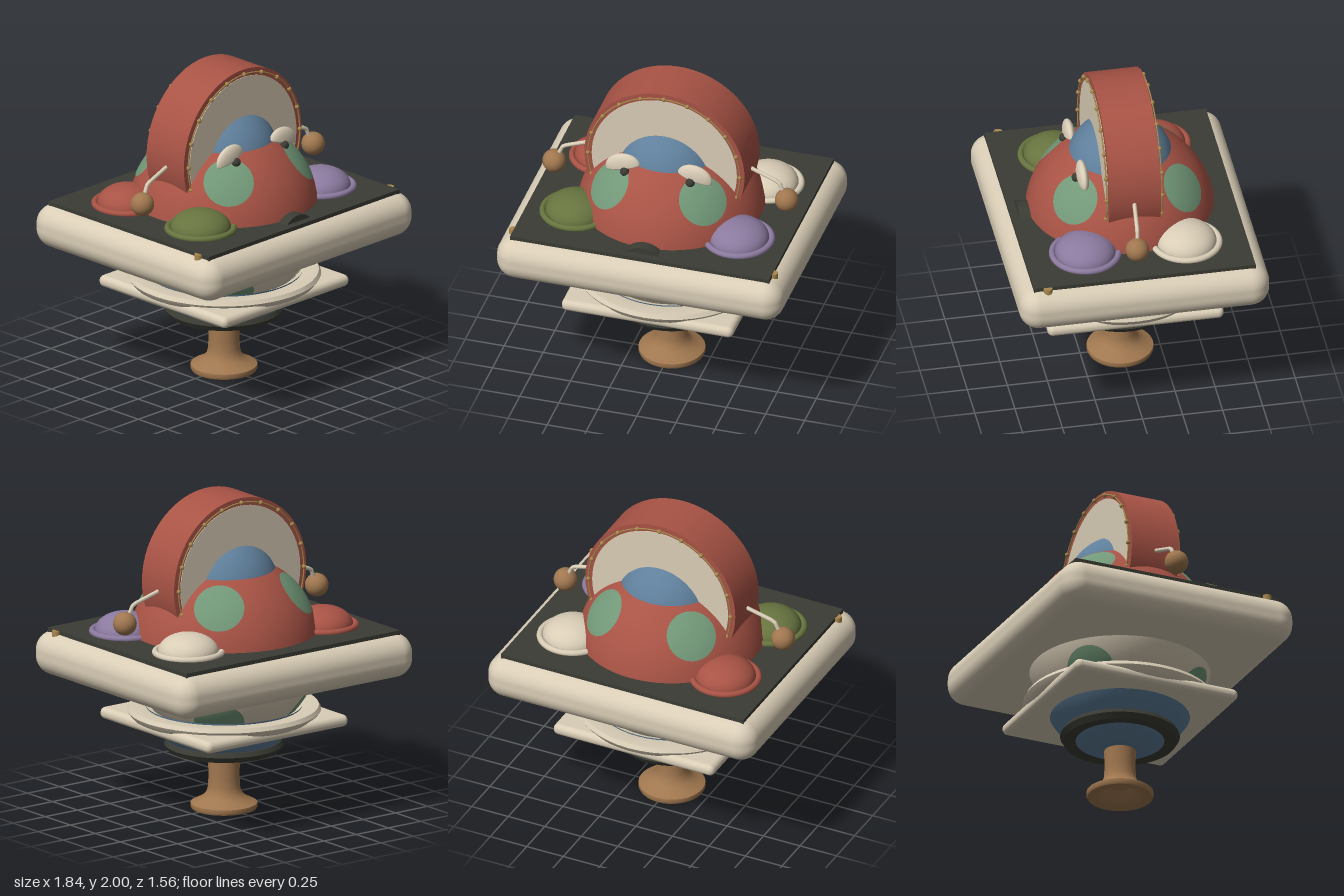
import * as THREE from 'three';
import { toCreasedNormals } from 'three/addons/utils/BufferGeometryUtils.js';
import { RoundedBoxGeometry } from 'three/addons/geometries/RoundedBoxGeometry.js';

function material(name, color) {
  const m = new THREE.MeshStandardMaterial({ color });
  m.name = name;
  return m;
}

export function createModel() {
  const cream = material('cream', 0xd9cdb6);
  const red = material('brick red', 0xa85345);
  const blue = material('slate blue', 0x5f7f9b);
  const dark = material('charcoal', 0x3b3c34);
  const green = material('sage green', 0x729878);
  const brown = material('wood brown', 0xa0774f);
  const purple = material('dusty purple', 0x8b7a9f);
  const olive = material('olive', 0x67743f);
  const gold = material('old gold', 0xa8874d);

  const model = new THREE.Group();
  model.name = 'model';

  const add = (name, geometry, mat, x = 0, y = 0, z = 0, parent = model) => {
    const mesh = new THREE.Mesh(geometry, mat);
    mesh.name = name;
    mesh.position.set(x, y, z);
    parent.add(mesh);
    return mesh;
  };
  // profile runs up the outside, so the faces look outwards
  const lathe = (profile) => toCreasedNormals(
    new THREE.LatheGeometry(profile.map(([r, y]) => new THREE.Vector2(r, y)), 48), 0.6);

  // pedestal with a hollow foot
  add('pedestal', lathe([
    [0, 0.1], [0.07, 0.08], [0.11, 0.03], [0.14, 0.005], [0.16, 0], [0.2, 0], [0.207, 0.015],
    [0.205, 0.035], [0.17, 0.052], [0.13, 0.075], [0.107, 0.105], [0.098, 0.14],
    [0.096, 0.2], [0.098, 0.36],
  ]), brown);

  // lower bowl and its collar
  const bowlTop = Math.acos((0.66 - 0.805) / 0.505);
  add('lowerBowl', new THREE.SphereGeometry(0.505, 48, 24, 0, Math.PI * 2, bowlTop, Math.PI - bowlTop),
    blue, 0, 0.805, 0);
  add('bowlCollar', lathe([
    [0.24, 0.385], [0.325, 0.372], [0.345, 0.375], [0.368, 0.41], [0.355, 0.438], [0.33, 0.445], [0.3, 0.44],
  ]), dark);

  // round saucer resting in a square tray
  add('tray', new RoundedBoxGeometry(1.1, 0.075, 1.1, 4, 0.035), cream, 0, 0.577, 0);
  add('saucer', lathe([
    [0.44, 0.58], [0.55, 0.582], [0.575, 0.595], [0.597, 0.63], [0.583, 0.655], [0.5, 0.655], [0.44, 0.64],
  ]), cream);

  // main globe: cream underside, red dome
  const R = 0.588, CY = 1.03;
  add('globeUnderside', new THREE.SphereGeometry(R, 64, 24, 0, Math.PI * 2, Math.PI / 2, Math.PI / 2), cream, 0, CY, 0);
  add('globeDome', new THREE.SphereGeometry(R, 64, 24, 0, Math.PI * 2, 0, Math.PI / 2), red, 0, CY, 0);
  add('crown', new THREE.SphereGeometry(0.338, 48, 32), blue, 0, 1.4, 0);

  // round patches above and below the slab
  const patch = new THREE.SphereGeometry(R + 0.004, 32, 8, 0, Math.PI * 2, 0, 0.265);
  const up = new THREE.Vector3(0, 1, 0);
  for (const sx of [-1, 1]) for (const sy of [-1, 1]) for (const sz of [-1, 1]) {
    const p = add('patch', patch, green, 0, CY, 0);
    p.quaternion.setFromUnitVectors(up, new THREE.Vector3(0.52 * sx, 0.62 * sy, 0.585 * sz).normalize());
  }

  // slab with dark top plate
  add('slab', new RoundedBoxGeometry(1.835, 0.275, 1.56, 6, 0.12), cream, 0, 0.9775, 0);
  add('topPlate', new THREE.BoxGeometry(1.66, 0.03, 1.384), dark, 0, 1.12, 0);
  const latch = add('frontLatch', new THREE.CylinderGeometry(0.145, 0.145, 0.07, 40), dark, 0, 1.03, 0.608);
  latch.rotation.x = Math.PI / 2;

  // four coloured buttons with rims
  const buttons = [[-1, 1, olive], [1, 1, purple], [-1, -1, red], [1, -1, cream]];
  for (const [sx, sz, mat] of buttons) {
    const button = new THREE.Group();
    button.name = 'button';
    button.position.set(0.522 * sx, 1.135, 0.315 * sz);
    model.add(button);
    const rim = add('buttonRim', new THREE.TorusGeometry(0.204, 0.02, 10, 48), mat, 0, 0.008, 0, button);
    rim.rotation.x = Math.PI / 2;
    const cap = add('buttonCap',
      new THREE.SphereGeometry(0.188, 40, 14, 0, Math.PI * 2, 0, Math.PI / 2), mat, 0, 0.01, 0, button);
    cap.scale.y = 0.63;
  }

  // wheel arch through the dome, cream faces framed by studded wire
  const AY = 1.487, AR = 0.513;
  const wheel = add('wheel', new THREE.CylinderGeometry(AR, AR, 0.322, 80), red, 0, AY, 0);
  wheel.rotation.x = Math.PI / 2;
  const face = new THREE.CylinderGeometry(0.465, 0.465, 0.006, 72);
  const wire = new THREE.TorusGeometry(0.486, 0.005, 6, 72, Math.PI * 1.24);
  const stud = new THREE.SphereGeometry(0.014, 12, 8);
  for (const sz of [-1, 1]) {
    add('wheelFace', face, cream, 0, AY, 0.162 * sz).rotation.x = Math.PI / 2;
    add('wheelWire', wire, gold, 0, AY, 0.173 * sz).rotation.z = -Math.PI * 0.12;
    for (let i = -1; i <= 11; i++) {
      const a = i * Math.PI / 10;
      add('stud', stud, gold, 0.486 * Math.cos(a), AY + 0.486 * Math.sin(a), 0.174 * sz);
    }
  }

  // mirrored arms, eyes and pegs
  const lid = new THREE.SphereGeometry(1, 32, 12, 0, Math.PI * 2, 0, Math.PI / 2);
  const lidBase = new THREE.SphereGeometry(1, 32, 8, 0, Math.PI * 2, Math.PI / 2, Math.PI / 2);
  for (const s of [-1, 1]) {
    const path = new THREE.CurvePath();
    const pts = [[0.45, 1.475, 0], [0.67, 1.405, 0.02], [0.695, 1.39, 0.022], [0.74, 1.29, 0.03]]
      .map(([x, y, z]) => new THREE.Vector3(x * s, y, z));
    for (let i = 0; i < 3; i++) path.add(new THREE.LineCurve3(pts[i], pts[i + 1]));
    add('arm', new THREE.TubeGeometry(path, 40, 0.013, 10), cream);
    add('armBall', new THREE.SphereGeometry(0.073, 32, 20), brown, 0.745 * s, 1.285, 0.032);

    const eyelid = new THREE.Group();
    eyelid.name = 'eyelid';
    eyelid.position.set(0.23 * s, 1.507, 0.278);
    eyelid.rotation.z = -0.26 * s;
    model.add(eyelid);
    add('lidTop', lid, cream, 0, 0, 0, eyelid).scale.set(0.113, 0.087, 0.037);
    add('lidBase', lidBase, cream, 0, 0, 0, eyelid).scale.set(0.113, 0.02, 0.037);
    add('pupil', new THREE.SphereGeometry(0.029, 20, 14), dark, 0.21 * s, 1.49, 0.312);

    add('peg', new THREE.CylinderGeometry(0.028, 0.028, 0.04, 20), gold, 0.832 * s, 1.113, 0.605);
  }

  return model;
}
